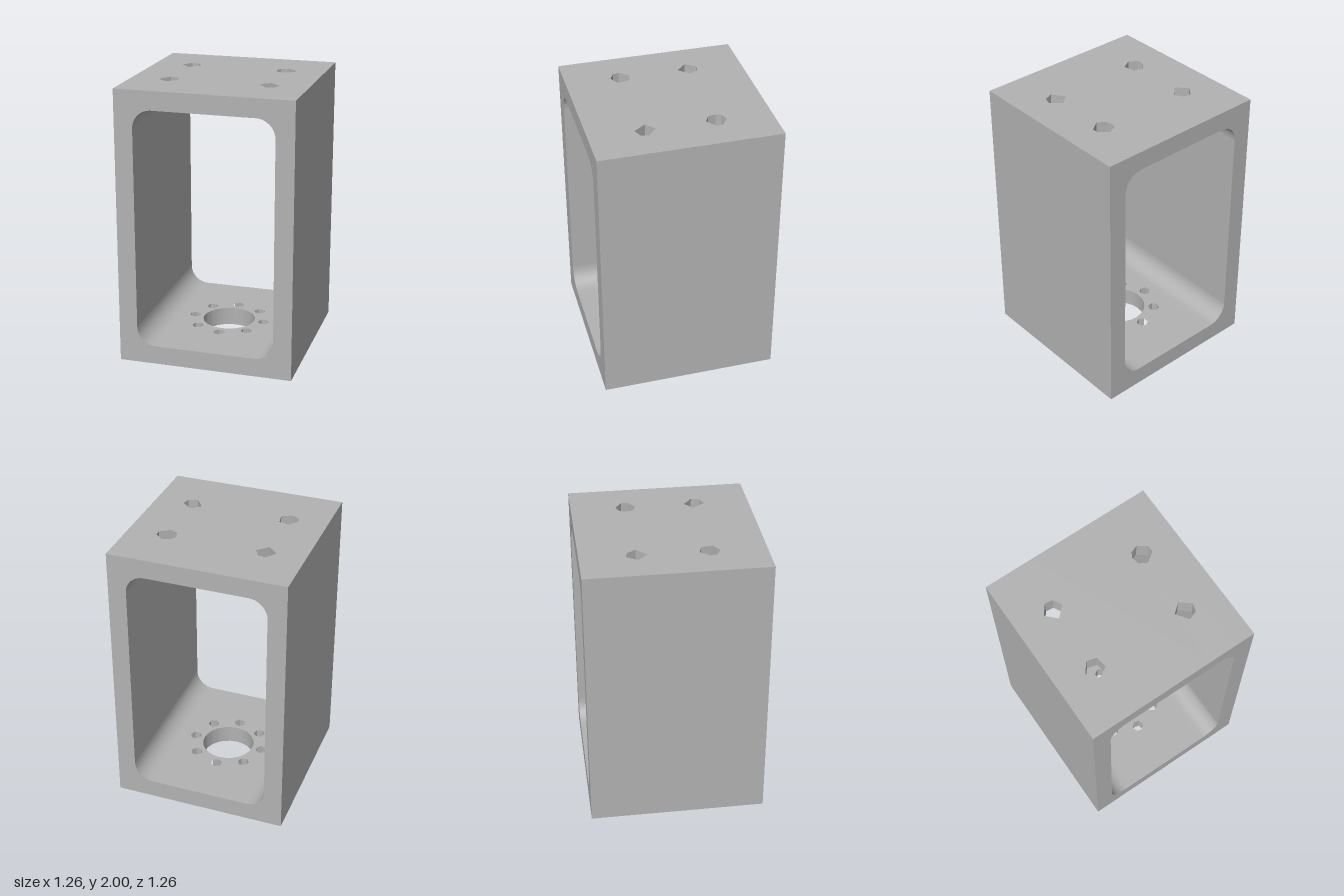
import * as THREE from 'three';
import { toCreasedNormals } from 'three/addons/utils/BufferGeometryUtils.js';

const HEIGHT = 2, HALF = 0.6325, OPEN = 0.5, THICK = 0.135, FILLET = 0.135;

// Plate depth at x, growing along the rounded inner corners
function depthAt(x) {
  const t = Math.min(Math.abs(x) - (OPEN - FILLET), FILLET);
  return THICK + (t > 0 ? FILLET - Math.sqrt(Math.max(0, FILLET * FILLET - t * t)) : 0);
}

// Convex polygonal hole seen from above, angles in degrees
function makeHole(cx, cz, r, angles) {
  const pts = angles.map((a) => {
    const t = THREE.MathUtils.degToRad(a);
    return [cx + r * Math.cos(t), cz - r * Math.sin(t)];
  });
  const xs = pts.map((p) => p[0]);
  return { pts, xs, cz, min: Math.min(...xs), max: Math.max(...xs) };
}

const evenAngles = (n, start = 0) => Array.from({ length: n }, (_, i) => start + (i * 360) / n);

// Near and far z of a hole at a given x
function span(hole, x) {
  const cx = THREE.MathUtils.clamp(x, hole.min, hole.max);
  const zs = [];
  hole.pts.forEach(([x0, z0], i) => {
    const [x1, z1] = hole.pts[(i + 1) % hole.pts.length];
    if (cx < Math.min(x0, x1) - 1e-7 || cx > Math.max(x0, x1) + 1e-7) return;
    if (Math.abs(x1 - x0) < 1e-6) zs.push(z0, z1);
    else zs.push(z0 + ((z1 - z0) * (cx - x0)) / (x1 - x0));
  });
  return [Math.min(...zs), Math.max(...zs)];
}

// Horizontal plate built in columns along x; side is +1 for the top, -1 for the bottom
function makePlate(holes, side) {
  const pos = [];
  const outer = side > 0 ? HEIGHT : 0;
  const inner = (x) => outer - side * depthAt(x);

  const tri = (a, b, c, dir) => {
    const n = b.clone().sub(a).cross(c.clone().sub(a));
    if (n.length() < 1e-10) return;
    for (const p of n.dot(dir) < 0 ? [a, c, b] : [a, b, c]) pos.push(p.x, p.y, p.z);
  };
  const quad = (a, b, c, d, dir) => {
    tri(a, b, c, dir);
    tri(a, c, d, dir);
  };
  const v = (x, y, z) => new THREE.Vector3(x, y, z);

  // Columns break at the fillet steps and at every hole corner
  const cuts = [-OPEN, OPEN, ...holes.flatMap((h) => h.xs)];
  for (let i = 0; i < 8; i++) {
    const x = OPEN - FILLET + FILLET * Math.sin((i / 8) * Math.PI / 2);
    cuts.push(x, -x);
  }
  cuts.sort((a, b) => a - b);
  const stations = cuts.filter((x, i) => i === 0 || x - cuts[i - 1] > 1e-6);

  for (let i = 0; i < stations.length - 1; i++) {
    const x0 = stations[i], x1 = stations[i + 1], mid = (x0 + x1) / 2;
    const crossed = holes.filter((h) => mid > h.min && mid < h.max).sort((a, b) => a.cz - b.cz);
    const z0 = [-HALF, ...crossed.flatMap((h) => span(h, x0)), HALF];
    const z1 = [-HALF, ...crossed.flatMap((h) => span(h, x1)), HALF];
    const y0 = inner(x0), y1 = inner(x1);
    z0.forEach((za, k) => {
      const zb = z1[k];
      // Solid strips between holes, outside and inside
      if (k % 2 === 0) {
        const zc = z0[k + 1], zd = z1[k + 1];
        quad(v(x0, outer, za), v(x1, outer, zb), v(x1, outer, zd), v(x0, outer, zc), v(0, side, 0));
        quad(v(x0, y0, za), v(x1, y1, zb), v(x1, y1, zd), v(x0, y0, zc), v(0, -side, 0));
      }
      // Hole walls and plate ends
      quad(v(x0, outer, za), v(x1, outer, zb), v(x1, y1, zb), v(x0, y0, za),
        v(0, 0, k % 2 === 0 ? -1 : 1));
    });
  }

  const geometry = new THREE.BufferGeometry();
  geometry.setAttribute('position', new THREE.Float32BufferAttribute(pos, 3));
  geometry.computeVertexNormals();
  return toCreasedNormals(geometry, 0.45);
}

export function createModel() {
  const group = new THREE.Group();
  const grey = new THREE.MeshStandardMaterial({ color: 0xb2b2b2 });
  grey.name = 'grey';

  const add = (name, geometry) => {
    const mesh = new THREE.Mesh(geometry, grey);
    mesh.name = name;
    group.add(mesh);
    return mesh;
  };

  // Side walls
  for (const [name, s] of [['leftWall', 1], ['rightWall', -1]]) {
    add(name, new THREE.BoxGeometry(HALF - OPEN, HEIGHT, 2 * HALF))
      .position.set(s * (HALF + OPEN) / 2, HEIGHT / 2, 0);
  }

  // Top plate with four coarse bolt holes
  const topHoles = [
    makeHole(-0.356, -0.245, 0.072, [0, 60, 105, 180, 270]),
    makeHole(0.355, -0.245, 0.072, [-18, 20, 88, 135, 168, 215, 268]),
    makeHole(-0.356, 0.243, 0.072, [-27, 45, 105, 178, 215, 265]),
    makeHole(0.355, 0.244, 0.072, [-40, 8, 93, 168, 263]),
  ];
  add('topPlate', makePlate(topHoles, 1));

  // Bottom plate with a central bore and a ring of eight small holes
  const bottomHoles = [makeHole(0, 0, 0.194, evenAngles(24))];
  for (let i = 0; i < 8; i++) {
    const a = (i * Math.PI) / 4;
    bottomHoles.push(makeHole(0.265 * Math.cos(a), 0.265 * Math.sin(a), 0.043, evenAngles(6, i * 25)));
  }
  add('bottomPlate', makePlate(bottomHoles, -1));

  return group;
}
